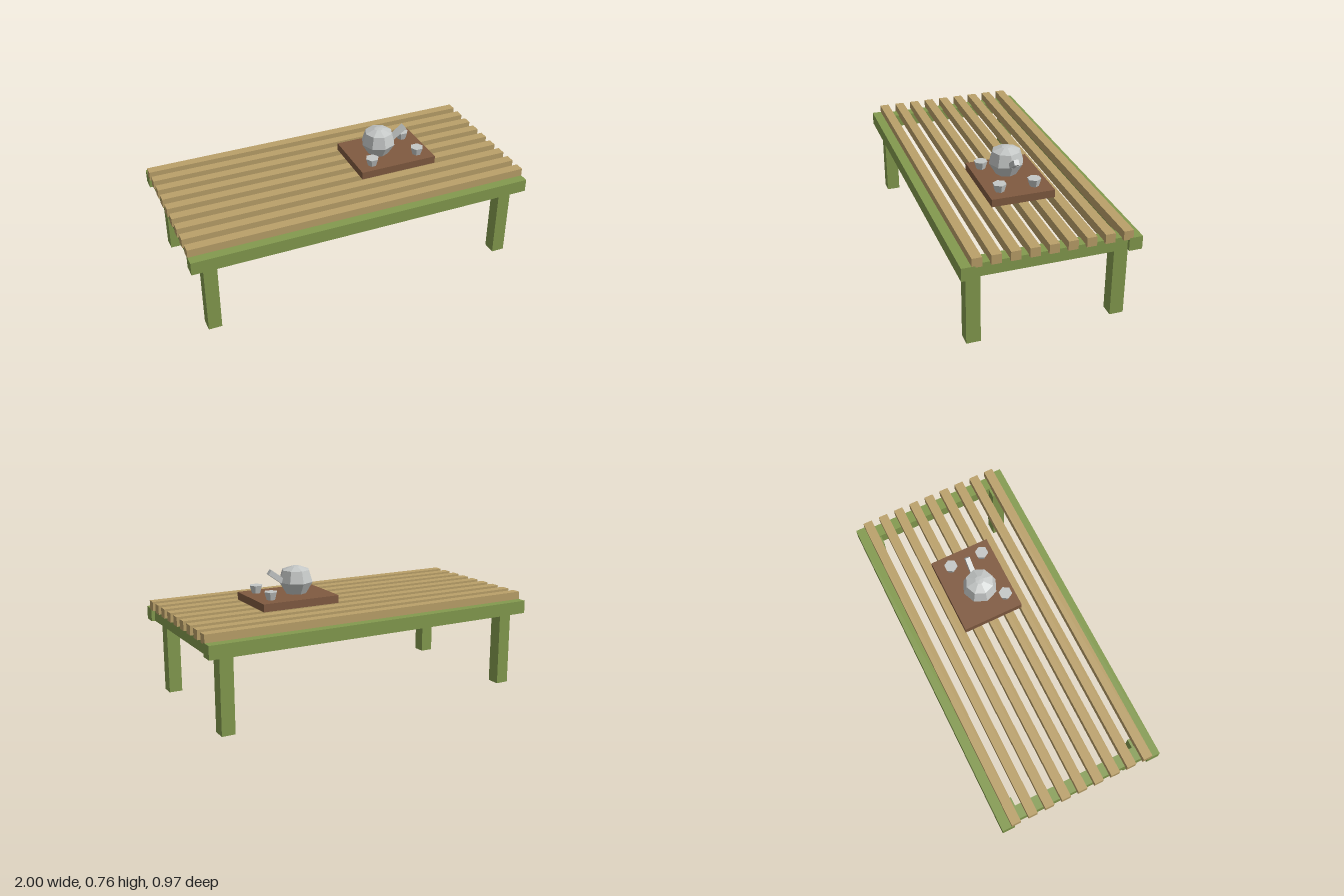
import * as THREE from 'three';

const paint = (name, color) => {
  const m = new THREE.MeshStandardMaterial({ color, flatShading: true });
  m.name = name;
  return m;
};

export function createModel() {
  const green = paint('green paint', 0x839a4e);
  const wood = paint('light wood', 0xbaa069);
  const brown = paint('brown wood', 0x805a40);
  const metal = paint('silver', 0xc4c7c6);

  const model = new THREE.Group();
  model.name = 'slattedTable';

  const add = (name, geometry, material, x, y, z, parent = model) => {
    const mesh = new THREE.Mesh(geometry, material);
    mesh.name = name;
    mesh.position.set(x, y, z);
    parent.add(mesh);
    return mesh;
  };

  // Frame: long rails, end rails and legs
  const longRail = new THREE.BoxGeometry(2, 0.075, 0.074);
  const endRail = new THREE.BoxGeometry(0.075, 0.075, 0.82);
  const leg = new THREE.BoxGeometry(0.076, 0.495, 0.078);
  for (const s of [-1, 1]) {
    add('longRail', longRail, green, 0, 0.4675, s * 0.446);
    add('endRail', endRail, green, s * 0.9425, 0.4675, 0);
    for (const t of [-1, 1]) add('leg', leg, green, s * 0.891, 0.2475, t * 0.401);
  }

  // Table top slats
  const slat = new THREE.BoxGeometry(2, 0.053, 0.054);
  for (let i = -4; i <= 4; i++) add('slat', slat, wood, 0, 0.5235, i * 0.1005);

  // Tray
  add('tray', new THREE.BoxGeometry(0.463, 0.044, 0.357), brown, 0.3285, 0.578, 0);

  // Teapot: eight-sided body with a slanted spout
  const teapot = new THREE.Group();
  teapot.name = 'teapot';
  teapot.position.set(0.277, 0.6, 0);
  model.add(teapot);
  const profile = [[0, 0], [0.06, 0], [0.1, 0.067], [0.08, 0.135], [0.025, 0.155], [0, 0.157]]
    .map(([r, y]) => new THREE.Vector2(r, y));
  add('teapotBody', new THREE.LatheGeometry(profile, 8), metal, 0, 0, 0, teapot);
  const spout = add('spout', new THREE.BoxGeometry(0.14, 0.03, 0.028), metal, 0.109, 0.094, 0, teapot);
  spout.rotation.z = 0.63;

  // Cups: tapered, six-sided
  const cup = new THREE.CylinderGeometry(0.039, 0.026, 0.045, 6);
  cup.rotateY(Math.PI / 2);
  for (const [x, z] of [[0.476, -0.09], [0.476, 0.107], [0.185, 0.118]]) {
    add('cup', cup, metal, x, 0.6225, z);
  }

  return model;
}
